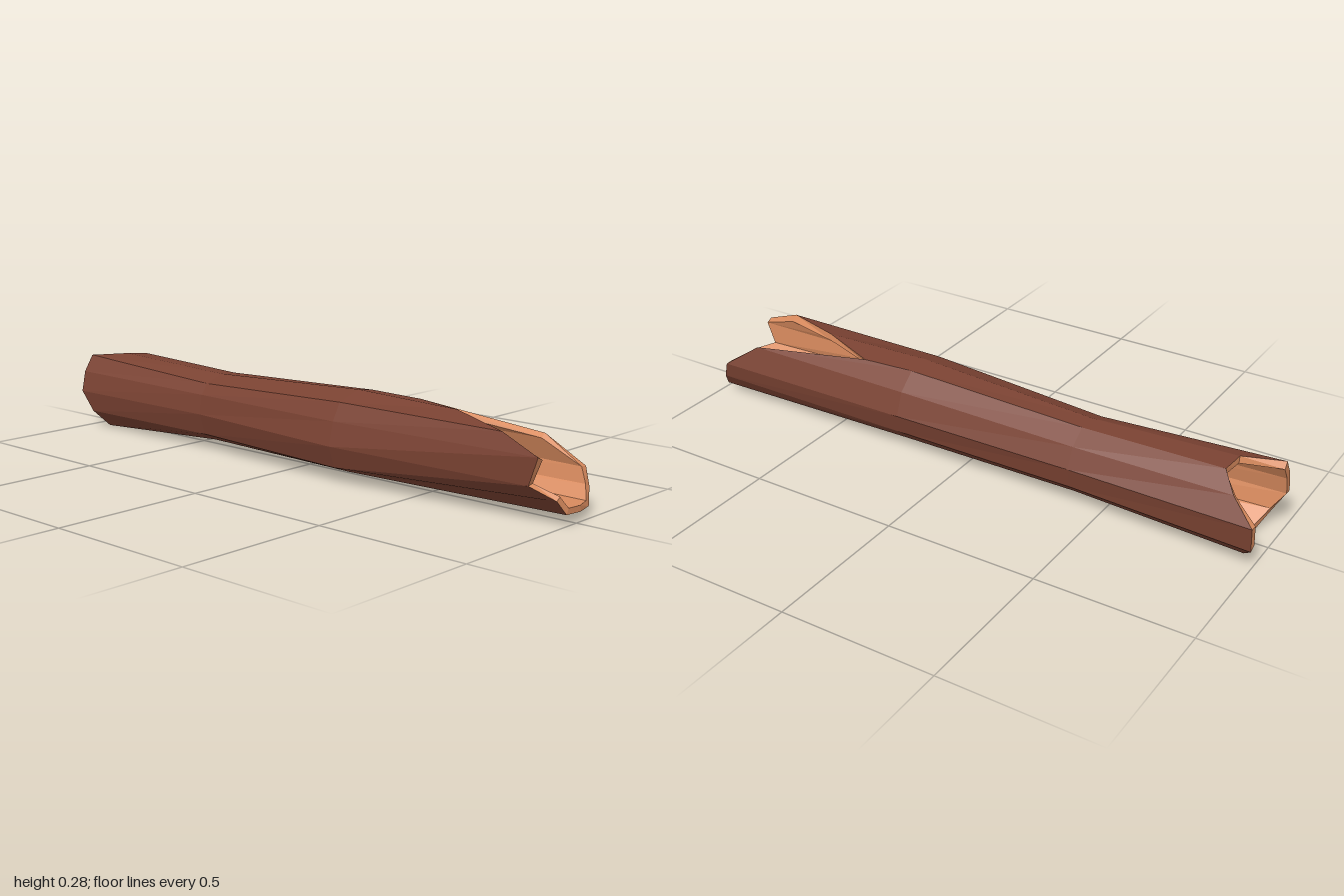
import * as THREE from 'three';

// Cross-sections along the log: [z, y] per corner, from top front over the back and round
const leftEnd = [[.08, .255], [.015, .267], [-.06, .26], [-.112, .215], [-.153, .15], [-.145, .07],
  [-.09, .02], [-.025, .002], [.065, .004], [.115, .06], [.13, .13], [.115, .2]];
const waist = [[.075, .225], [.01, .25], [-.05, .246], [-.105, .205], [-.133, .14], [-.122, .075],
  [-.085, .04], [-.025, .03], [.04, .028], [.09, .055], [.11, .125], [.1, .19]];
const bulge = [[.105, .25], [.02, .278], [-.053, .266], [-.112, .215], [-.14, .14], [-.124, .075],
  [-.085, .035], [-.025, .028], [.06, .025], [.128, .05], [.153, .12], [.135, .195]];
const rightEnd = [[.106, .25], [.02, .268], [-.06, .261], [-.105, .212], [-.135, .13], [-.125, .075],
  [-.093, .028], [-.02, .031], [.05, .035], [.085, .078], [.12, .115], [.122, .2]];

// Splintered ends: how far each corner reaches along x
const leftX = [-1, -.88, -.87, -.92, -1, -1, -.96, -.93, -.93, -.96, -1, -1];
const rightX = [.82, .6, .4, .82, .94, .96, .98, 1, 1, .99, .92, .95];
const N = leftX.length;

const ring = (section, xs) => section.map(([z, y], j) =>
  new THREE.Vector3(Array.isArray(xs) ? xs[j] : xs, y, z));

// Inner wall: the same ring drawn in towards its centre
function shrink(points, s) {
  const c = points.reduce((sum, p) => sum.add(p), new THREE.Vector3()).divideScalar(N);
  return points.map(p => new THREE.Vector3(p.x, c.y + (p.y - c.y) * s, c.z + (p.z - c.z) * s));
}

// Skin joining a series of rings
function loft(rings) {
  const geo = new THREE.BufferGeometry().setFromPoints(rings.flat());
  const index = [];
  for (let i = 0; i < rings.length - 1; i++) {
    for (let j = 0; j < N; j++) {
      const k = (j + 1) % N;
      const a = i * N + j, b = i * N + k, c = b + N, d = a + N;
      index.push(a, d, c, a, c, b);
    }
  }
  geo.setIndex(index);
  geo.computeVertexNormals();
  return geo;
}

export function createModel() {
  const group = new THREE.Group();
  group.name = 'hollowLog';
  const bark = new THREE.MeshStandardMaterial({ color: 0x7a4232, flatShading: true });
  const wood = new THREE.MeshStandardMaterial({ color: 0xd98b5e, flatShading: true });

  const outer = [ring(leftEnd, leftX), ring(waist, -.4), ring(bulge, .22), ring(rightEnd, rightX)];
  const inner = outer.map(r => shrink(r, .83));

  const add = (name, rings, material) => {
    const mesh = new THREE.Mesh(loft(rings), material);
    mesh.name = name;
    group.add(mesh);
  };
  add('bark', outer, bark);
  add('innerWall', [...inner].reverse(), wood);
  add('leftRim', [inner[0], outer[0]], wood);
  add('rightRim', [outer[3], inner[3]], wood);
  return group;
}
